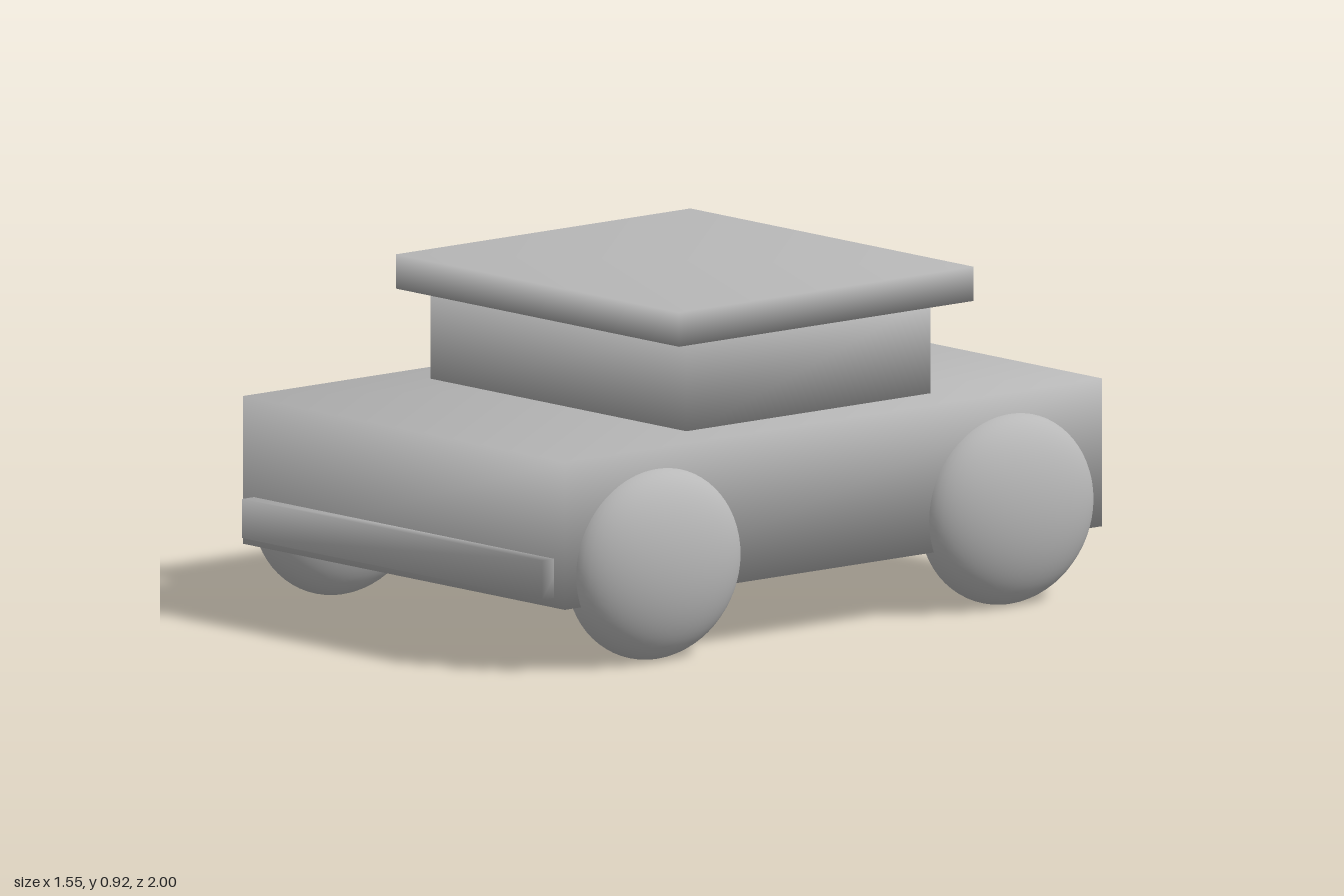
import * as THREE from 'three';
import { mergeVertices } from 'three/addons/utils/BufferGeometryUtils.js';

// Box between two corners, with normals shared across its edges for soft shading
function softBox(x, y0, y1, z0, z1) {
  let geometry = new THREE.BoxGeometry(2 * x, y1 - y0, z1 - z0);
  geometry.deleteAttribute('normal');
  geometry.deleteAttribute('uv');
  geometry = mergeVertices(geometry);
  geometry.computeVertexNormals();
  geometry.translate(0, (y0 + y1) / 2, (z0 + z1) / 2);
  return geometry;
}

export function createModel() {
  const model = new THREE.Group();
  model.name = 'car';
  const grey = new THREE.MeshStandardMaterial({ color: 0xb8b8b8 });
  grey.name = 'grey';

  const add = (name, geometry) => {
    const mesh = new THREE.Mesh(geometry, grey);
    mesh.name = name;
    model.add(mesh);
    return mesh;
  };

  // Body, cabin and overhanging roof
  add('body', softBox(0.66, 0.18, 0.585, -0.963, 0.957));
  add('cabin', softBox(0.525, 0.575, 0.84, -0.467, 0.405));
  add('roof', softBox(0.581, 0.833, 0.927, -0.572, 0.48));

  // Bumpers
  add('frontBumper', softBox(0.616, 0.207, 0.314, 0.92, 1));
  add('rearBumper', softBox(0.616, 0.207, 0.314, -1, -0.92));

  // Domed wheels, slightly longer than tall
  const wheelGeometry = new THREE.SphereGeometry(1, 48, 32);
  wheelGeometry.scale(0.128, 0.262, 0.291);
  for (const [side, sx] of [['Left', 1], ['Right', -1]]) {
    for (const [end, z] of [['front', 0.627], ['rear', -0.634]]) {
      add(`${end}${side}Wheel`, wheelGeometry).position.set(sx * 0.645, 0.267, z);
    }
  }
  return model;
}
